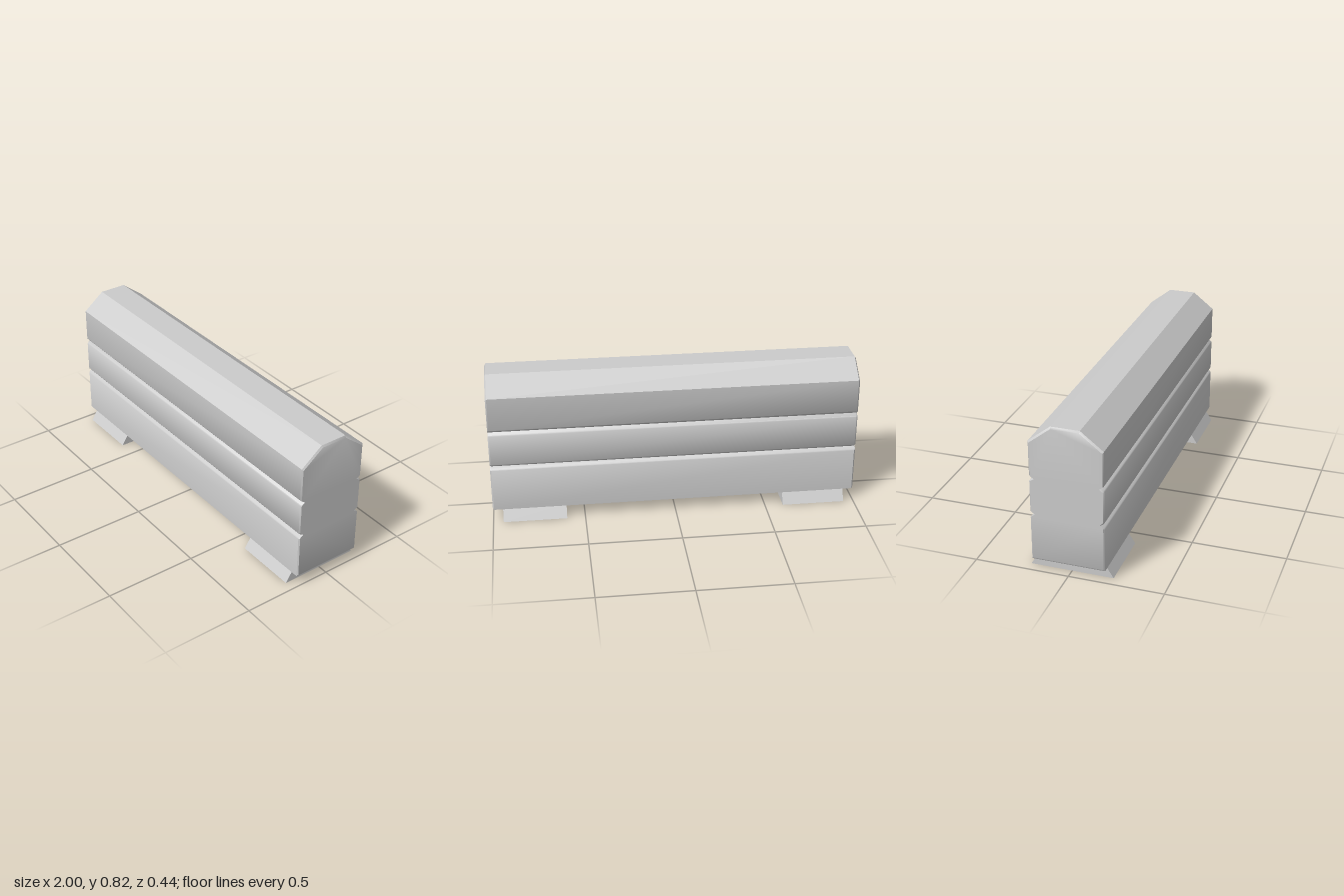
import * as THREE from 'three';
import { toCreasedNormals } from 'three/addons/utils/BufferGeometryUtils.js';

const material = new THREE.MeshStandardMaterial({ color: 0xcccccc });

// Extrudes a z-y section along x, centred on x = 0.
function extrudeAlongX(points, length, steps = 1) {
  const shape = new THREE.Shape(points.map(([z, y]) => new THREE.Vector2(z, y)));
  const geometry = new THREE.ExtrudeGeometry(shape, { depth: length, steps, bevelEnabled: false });
  return geometry.translate(0, 0, -length / 2).rotateY(Math.PI / 2);
}

// Half section from the bottom up, with a softened V groove at each height.
function bodySection() {
  const half = [[0.193, 0.065]];
  for (const y of [0.322, 0.525]) {
    half.push([0.193, y - 0.018], [0.189, y - 0.012], [0.172, y], [0.189, y + 0.012], [0.193, y + 0.018]);
  }
  half.push([0.193, 0.725], [0.075, 0.817]);
  return [...half, ...half.slice().reverse().map(([z, y]) => [-z, y])];
}

// Barrier body: the end rings shrink slightly to chamfer both ends.
function createBody() {
  const geometry = extrudeAlongX(bodySection(), 2, 3);
  const p = geometry.attributes.position;
  const middle = 0.441, shrink = 0.972, chamfer = 0.007;
  for (let i = 0; i < p.count; i++) {
    const x = p.getX(i);
    if (Math.abs(x) > 0.9) {
      p.setY(i, middle + (p.getY(i) - middle) * shrink);
      p.setZ(i, p.getZ(i) * shrink);
    } else {
      p.setX(i, Math.sign(x) * (1 - chamfer));
    }
  }
  const body = new THREE.Mesh(toCreasedNormals(geometry, 0.6), material);
  body.name = 'body';
  return body;
}

export function createModel() {
  const model = new THREE.Group();
  model.name = 'barrier';
  model.add(createBody());

  // Splayed trapezoid feet
  const footGeometry = extrudeAlongX([[-0.22, 0], [0.22, 0], [0.178, 0.066], [-0.178, 0.066]], 0.345);
  for (const [name, side] of [['leftFoot', 1], ['rightFoot', -1]]) {
    const foot = new THREE.Mesh(footGeometry, material);
    foot.name = name;
    foot.position.x = side * 0.7725;
    model.add(foot);
  }
  return model;
}
